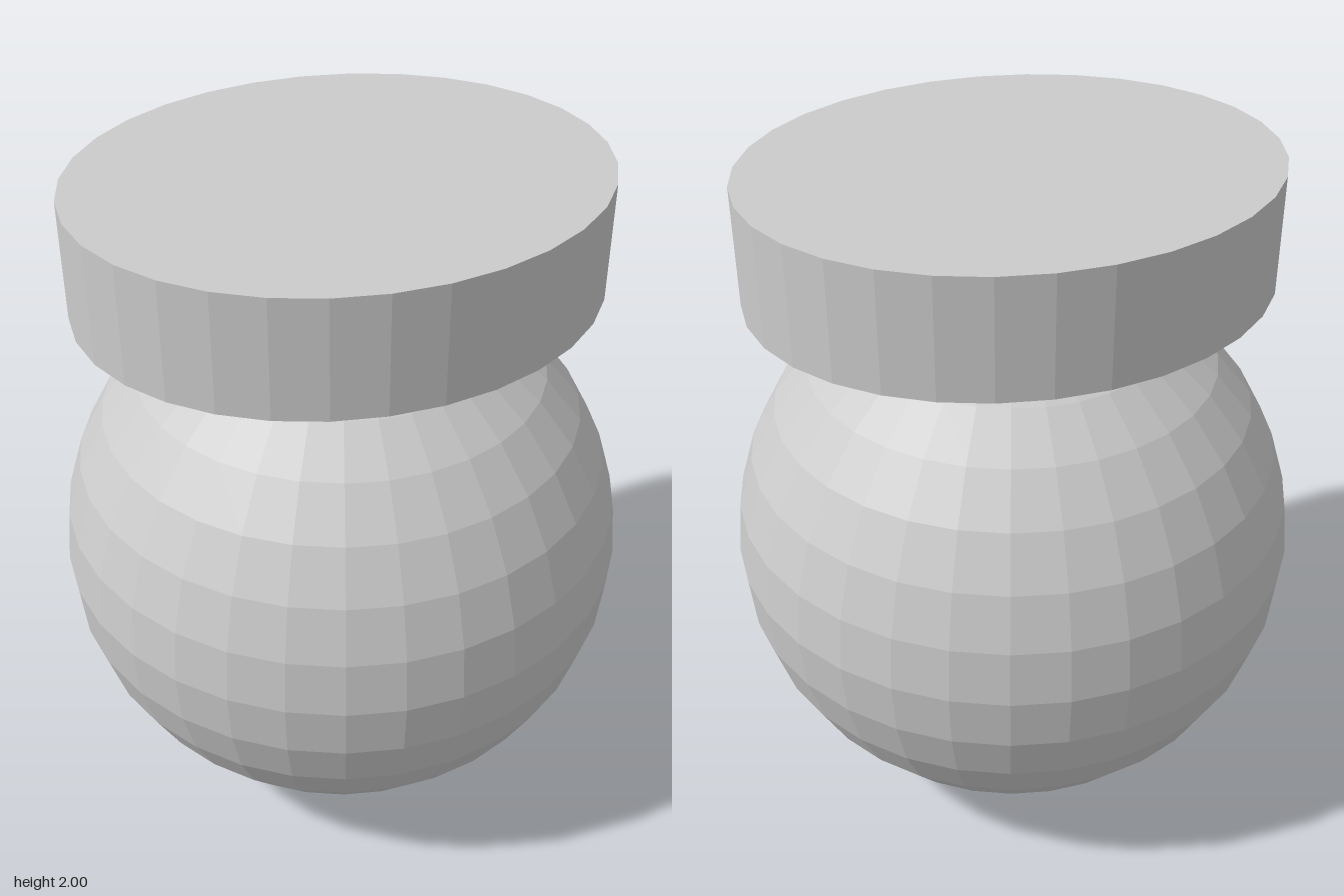
import * as THREE from 'three';

export function createModel() {
  const group = new THREE.Group();
  const material = new THREE.MeshStandardMaterial({ color: 0xcccccc, flatShading: true });
  const radius = 0.83;

  // Faceted round body standing on the ground
  const body = new THREE.Mesh(new THREE.SphereGeometry(radius, 32, 16), material);
  body.name = 'body';
  body.position.y = radius;
  group.add(body);

  // Oval cap resting on top of the body
  const height = 2 - 2 * radius;
  const capGeometry = new THREE.CylinderGeometry(1, 1, height, 32);
  capGeometry.scale(0.75, 1, 0.645);
  const cap = new THREE.Mesh(capGeometry, material);
  cap.name = 'cap';
  cap.position.y = 2 - height / 2;
  group.add(cap);

  return group;
}
